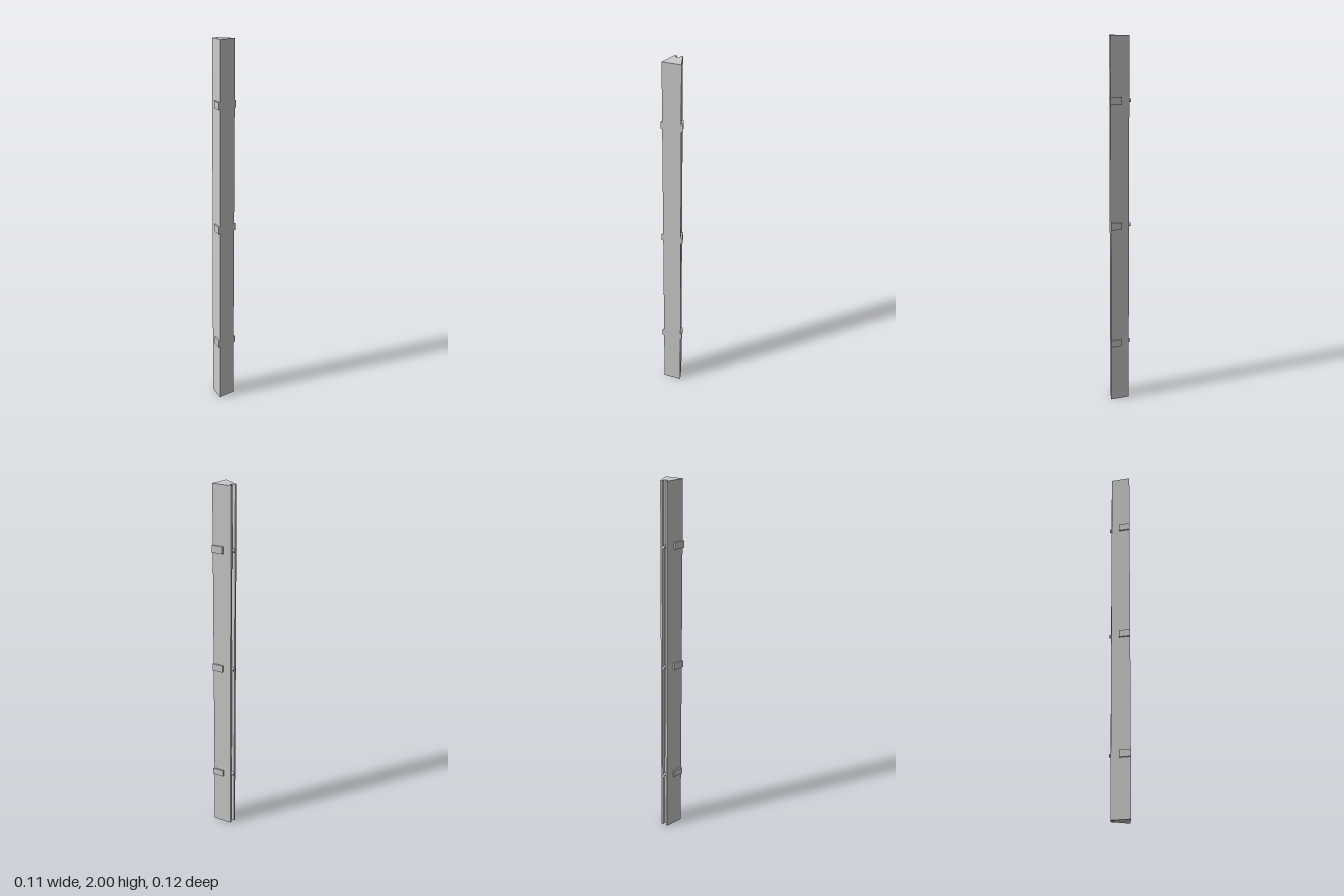
import * as THREE from 'three';

const material = new THREE.MeshStandardMaterial({ color: 0xcccccc });
const left = -0.0455, right = 0.0545;   // narrow and wide faces of the post
const halfWidth = (x) => 0.02 + 0.3 * (x - left);

// Upright prism from a plan outline of [x, z] points
function prism(name, outline, height, y) {
  const shape = new THREE.Shape(outline.map(([x, z]) => new THREE.Vector2(x, -z)));
  const geometry = new THREE.ExtrudeGeometry(shape, { depth: height, bevelEnabled: false });
  geometry.rotateX(-Math.PI / 2);
  const mesh = new THREE.Mesh(geometry, material);
  mesh.name = name;
  mesh.position.y = y;
  return mesh;
}

export function createModel() {
  const model = new THREE.Group();
  model.name = 'wedgePost';

  // Tapered post with a slot along its narrow face
  const slotEnd = -0.0245, slotHalf = 0.01;
  model.add(prism('post', [
    [left, slotHalf], [left, halfWidth(left)],
    [right, halfWidth(right)], [right, -halfWidth(right)],
    [left, -halfWidth(left)], [left, -slotHalf],
    [slotEnd, -slotHalf], [slotEnd, slotHalf],
  ], 2, 0));

  const tabStart = -0.005, tabDepth = 0.009, tabHeight = 0.038;
  for (const y of [1 / 3, 1, 5 / 3]) {
    // Side tabs lying on both slanted faces
    for (const side of [1, -1]) {
      model.add(prism(side > 0 ? 'frontTab' : 'backTab', [
        [tabStart, side * halfWidth(tabStart)],
        [right, side * halfWidth(right)],
        [right, side * (halfWidth(right) + tabDepth)],
        [tabStart, side * (halfWidth(tabStart) + tabDepth)],
      ], tabHeight, y - tabHeight / 2));
    }

    // Round pin standing out of the slot
    const pin = new THREE.Mesh(new THREE.CylinderGeometry(0.0095, 0.0095, 0.03, 32), material);
    pin.name = 'pin';
    pin.rotation.z = Math.PI / 2;
    pin.position.set(-0.0395, y, 0);
    model.add(pin);
  }
  return model;
}
